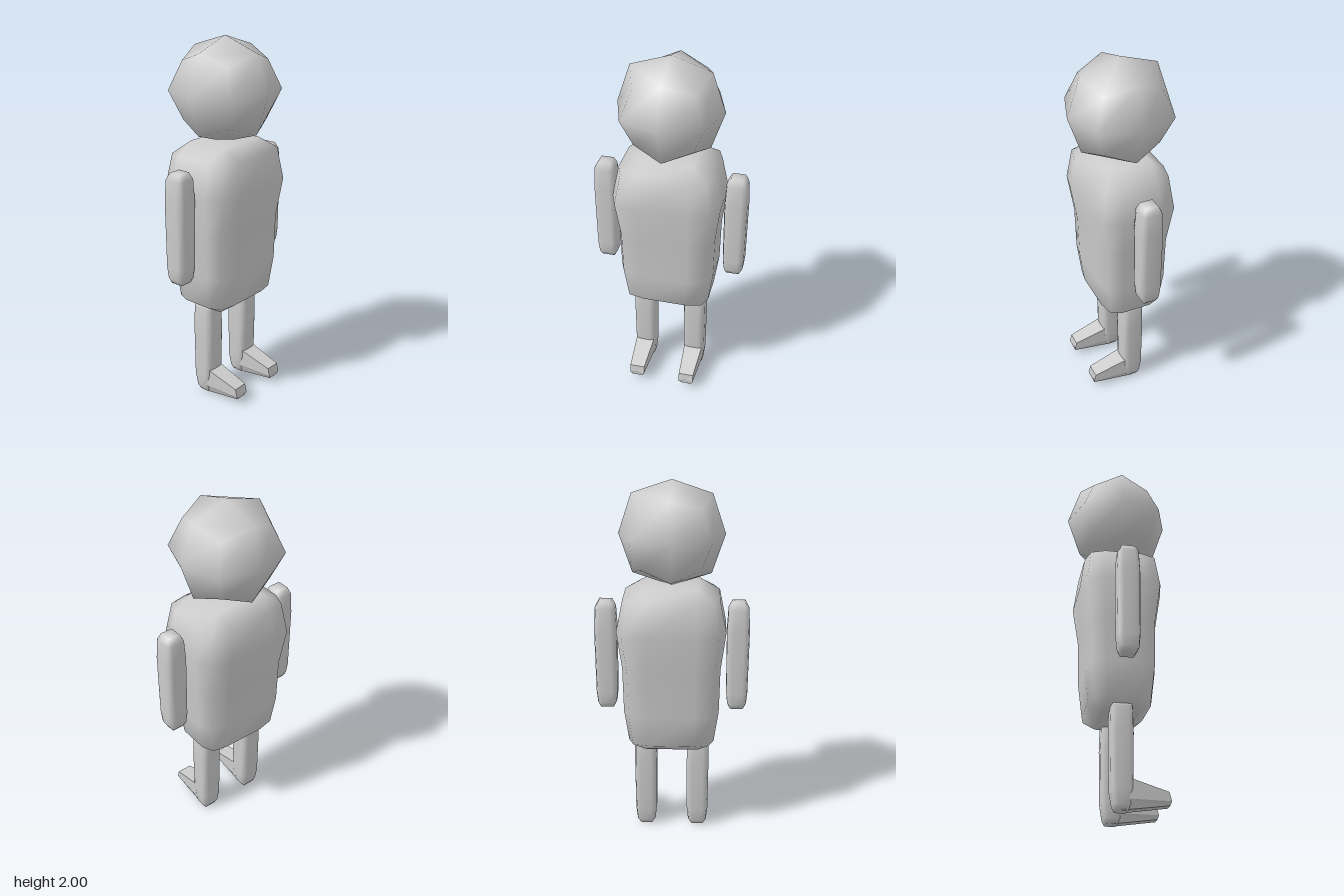
import * as THREE from 'three';
import { mergeVertices } from 'three/addons/utils/BufferGeometryUtils.js';

const material = new THREE.MeshStandardMaterial({ color: 0xcccccc });

function addMesh(parent, name, geometry, x = 0, y = 0, z = 0) {
  const mesh = new THREE.Mesh(geometry, material);
  mesh.name = name;
  mesh.position.set(x, y, z);
  parent.add(mesh);
  return mesh;
}

// Closed skin over a row of rings, each ring a list of [x, y, z]
function loft(rings, smooth) {
  const n = rings[0].length;
  const index = [];
  const points = rings.flat();
  const cap = (ring, flip) => {
    const center = [0, 1, 2].map((k) => ring.reduce((s, p) => s + p[k], 0) / n);
    const base = rings.indexOf(ring) * n;
    points.push(center);
    for (let j = 0; j < n; j++) {
      const a = base + j, b = base + (j + 1) % n;
      index.push(points.length - 1, ...(flip ? [a, b] : [b, a]));
    }
  };
  for (let i = 0; i < rings.length - 1; i++) {
    for (let j = 0; j < n; j++) {
      const a = i * n + j, b = i * n + (j + 1) % n;
      index.push(a, a + n, b, b, a + n, b + n);
    }
  }
  cap(rings[0], true);
  cap(rings[rings.length - 1], false);
  let geometry = new THREE.BufferGeometry();
  geometry.setAttribute('position', new THREE.Float32BufferAttribute(points.flat(), 3));
  geometry.setIndex(index);
  geometry = smooth ? mergeVertices(geometry, 1e-4) : geometry.toNonIndexed();
  geometry.computeVertexNormals();
  return geometry;
}

// Softened box from levels [y, halfX, halfZ], bottom to top; the end levels are small flat rectangles
function softBox(levels) {
  const quarter = [[1, 0.5], [0.89, 0.88], [0.5, 1]];
  const mirrored = quarter.slice().reverse().map(([x, z]) => [-x, z]);
  const half = [...quarter, ...mirrored];
  const section = [...half, ...half.map(([x, z]) => [-x, -z])];
  const rings = levels.map(([y, hx, hz], i) => {
    const end = i === 0 || i === levels.length - 1;
    return section.map(([x, z]) => (end
      ? [Math.sign(x) * hx, y, Math.sign(z) * hz]
      : [x * hx, y, z * hz]));
  });
  return loft(rings, true);
}

// Cube with two divisions per side, rounded to a faceted ball
function headGeometry() {
  let geometry = new THREE.BoxGeometry(2, 2, 2, 2, 2, 2);
  geometry.deleteAttribute('normal');
  geometry.deleteAttribute('uv');
  geometry = mergeVertices(geometry);
  const p = geometry.attributes.position;
  const v = new THREE.Vector3();
  const reach = [0, 0.28, 0.21, 0.156];
  for (let i = 0; i < p.count; i++) {
    v.fromBufferAttribute(p, i);
    v.multiplyScalar(reach[Math.round(v.lengthSq())]);
    p.setXYZ(i, v.x, v.y, v.z);
  }
  geometry.computeVertexNormals();
  return geometry;
}

// Wedge foot: flat top, upright sides, chamfer down to a narrow sole
function footGeometry() {
  const ring = (x, top, mid, sole, w, s) => [
    [x[1], mid, w], [x[0], top, w], [x[0], top, -w],
    [x[1], mid, -w], [x[2], sole, -s], [x[2], sole, s],
  ];
  return loft([
    ring([0, 0, 0], 0.17, 0.055, 0.002, 0.055, 0.035),
    ring([0.235, 0.246, 0.24], 0.1, 0.055, 0.035, 0.042, 0.03),
  ], false);
}

export function createModel() {
  const model = new THREE.Group();
  model.name = 'figure';

  addMesh(model, 'head', headGeometry(), 0, 1.722, 0);

  addMesh(model, 'torso', softBox([
    [0.515, 0.09, 0.145],
    [0.57, 0.165, 0.235],
    [0.75, 0.185, 0.26],
    [1.0, 0.19, 0.265],
    [1.215, 0.222, 0.292],
    [1.395, 0.197, 0.256],
    [1.457, 0.113, 0.142],
  ]));

  const arm = softBox([
    [0.745, 0.035, 0.035],
    [0.775, 0.053, 0.052],
    [0.84, 0.059, 0.058],
    [1.2, 0.062, 0.061],
    [1.32, 0.056, 0.055],
    [1.357, 0.034, 0.034],
  ]);
  const leg = softBox([
    [0.002, 0.03, 0.032],
    [0.03, 0.045, 0.052],
    [0.11, 0.057, 0.06],
    [0.4, 0.061, 0.062],
    [0.53, 0.058, 0.06],
    [0.555, 0.045, 0.045],
  ]);
  const foot = footGeometry();

  // Limbs on both sides
  for (const side of [1, -1]) {
    const label = side > 0 ? 'front' : 'back';
    addMesh(model, label + 'Arm', arm, 0, 0, side * 0.358);
    addMesh(model, label + 'Leg', leg, 0, 0, side * 0.147);
    addMesh(model, label + 'Foot', foot, 0, 0, side * 0.147);
  }
  return model;
}
